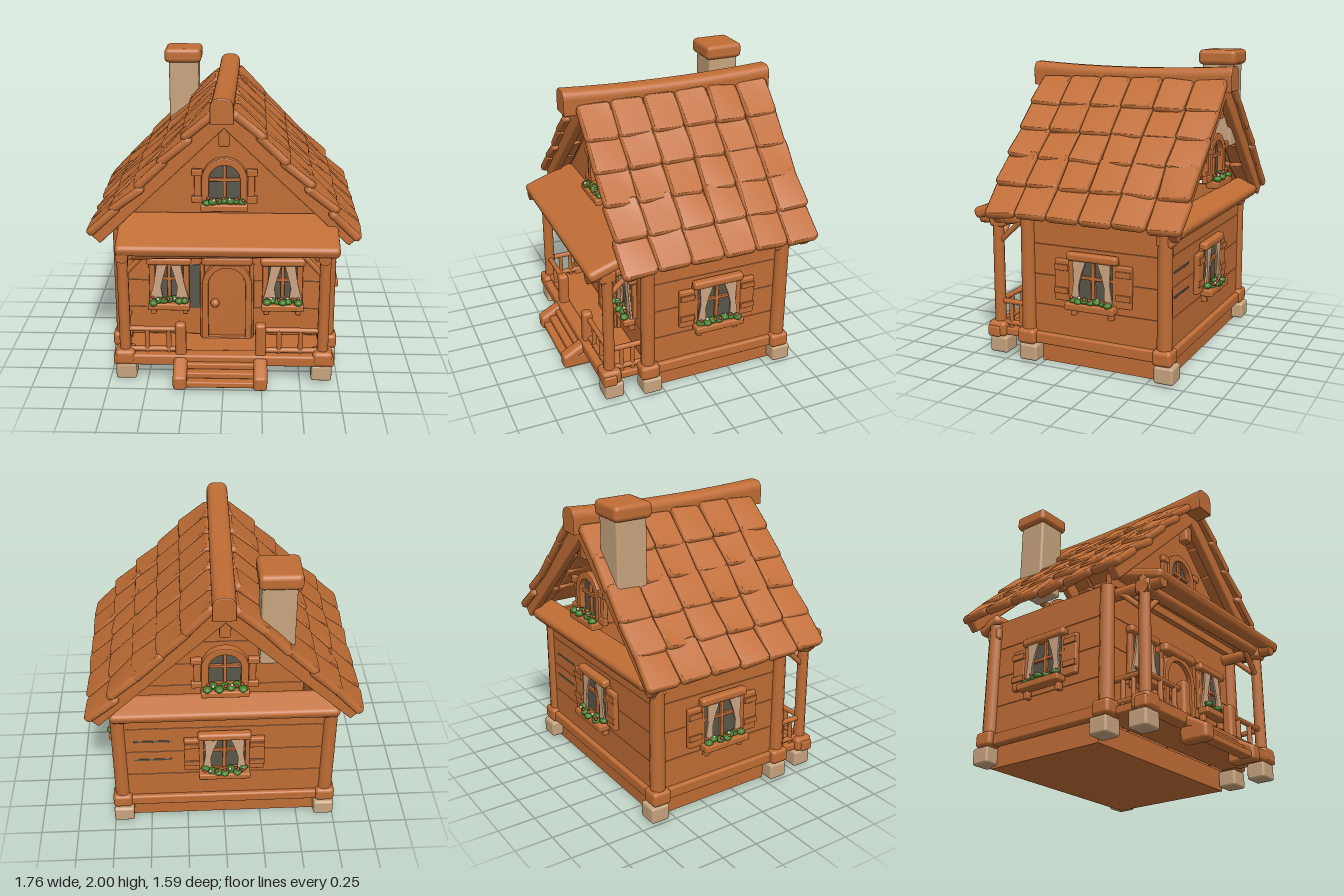
import * as THREE from 'three';
import { RoundedBoxGeometry } from 'three/addons/geometries/RoundedBoxGeometry.js';
import { mergeVertices } from 'three/addons/utils/BufferGeometryUtils.js';

const paint = (name, color, side = THREE.FrontSide) => {
  const m = new THREE.MeshStandardMaterial({ color, side });
  m.name = name;
  return m;
};

export function createModel() {
  const wood = paint('wood', 0xc06d35);
  const wallWood = paint('wall wood', 0xc06d35, THREE.DoubleSide);
  const stone = paint('stone', 0xc8a47e);
  const cloth = paint('curtain cloth', 0xcda583, THREE.DoubleSide);
  const glass = paint('dark glass', 0x59564a, THREE.DoubleSide);
  const leaf = paint('leaf green', 0x447d28);
  const red = paint('flower red', 0xb8432c);
  const white = paint('flower cream', 0xd8c4a8);

  let seed = 7;
  const rnd = () => (seed = (seed * 16807) % 2147483647) / 2147483647 - 0.5;

  const house = new THREE.Group();
  house.name = 'cottage';
  const add = (parent, name, geo, mat, x = 0, y = 0, z = 0) => {
    const m = new THREE.Mesh(geo, mat);
    m.name = name;
    m.position.set(x, y, z);
    parent.add(m);
    return m;
  };
  // Soft-edged block by centre and size
  const block = (parent, name, [x, y, z], [w, h, d], mat = wood, r = 0.2) =>
    add(parent, name, new RoundedBoxGeometry(w, h, d, 2, Math.min(w, h, d) * r), mat, x, y, z);
  // Round timber between two points
  const timber = (parent, name, a, b, r, r2 = r) => {
    const p = new THREE.Vector3(...a), q = new THREE.Vector3(...b), d = q.clone().sub(p);
    const m = add(parent, name, new THREE.CylinderGeometry(r2, r, d.length(), 10), wood);
    m.position.copy(p).add(q).multiplyScalar(0.5);
    m.quaternion.setFromUnitVectors(new THREE.Vector3(0, 1, 0), d.normalize());
    return m;
  };
  const plate = (parent, name, pts, depth, mat, z = 0) =>
    add(parent, name, new THREE.ExtrudeGeometry(new THREE.Shape(pts.map(p => new THREE.Vector2(...p))),
      { depth, bevelEnabled: false }), mat, 0, 0, z);
  const archShape = (w, y0, y1) => {
    const s = new THREE.Shape();
    s.moveTo(-w, y0);
    s.lineTo(w, y0);
    s.lineTo(w, y1);
    s.absarc(0, y1, w, 0, Math.PI, false);
    return s;
  };
  const archFrame = (parent, name, w, t, y0, y1, depth, z) => {
    const s = archShape(w + t, y0, y1);
    s.holes.push(archShape(w, y0 + 0.005, y1));
    return add(parent, name, new THREE.ExtrudeGeometry(s,
      { depth, bevelThickness: 0.008, bevelSize: 0.006, bevelSegments: 2, curveSegments: 10 }), wood, 0, 0, z);
  };
  // Slightly twisted, softly shaded shingle with rounded corners, lying in xz
  const shingleGeometry = (len, wid) => {
    const s = new THREE.Shape(), r = 0.035;
    for (const [i, sx, sy] of [[0, 1, 1], [1, -1, 1], [2, -1, -1], [3, 1, -1]])
      s.absarc(sx * (len / 2 - r), sy * (wid / 2 - r), r, i * Math.PI / 2, (i + 1) * Math.PI / 2, false);
    let g = new THREE.ExtrudeGeometry(s, { depth: 0.026, curveSegments: 3,
      bevelThickness: 0.013, bevelSize: 0.013, bevelOffset: -0.013, bevelSegments: 1 });
    g.rotateX(-Math.PI / 2).translate(0, -0.013, 0);
    g.deleteAttribute('normal');
    g.deleteAttribute('uv');
    g = mergeVertices(g, 1e-4);
    const p = g.attributes.position, k = rnd() * 1.6;
    for (let i = 0; i < p.count; i++) p.setY(i, p.getY(i) + k * p.getX(i) * p.getZ(i));
    g.computeVertexNormals();
    return g;
  };

  // Flower box with leaves and blossoms
  const flowerBox = (parent, w, y, brackets) => {
    block(parent, 'flowerBox', [0, y, 0.055], [w, 0.045, 0.08]);
    if (brackets)
      for (const s of [-1, 1]) block(parent, 'boxBracket', [s * w * 0.38, y - 0.045, 0.03], [0.035, 0.05, 0.04]);
    for (let i = 0; i < 7; i++) {
      const x = (i / 6 - 0.5) * w * 0.74;
      const l = add(parent, 'leaves', new THREE.IcosahedronGeometry(0.029, 1), leaf,
        x, y + 0.034 + rnd() * 0.016, 0.06 + rnd() * 0.05);
      l.scale.y = 0.75;
      add(parent, 'blossom', new THREE.IcosahedronGeometry(0.011, 1), i % 3 === 1 ? white : red,
        x + rnd() * 0.02, y + 0.055, 0.07 + rnd() * 0.05);
    }
  };

  // Square window with swept curtains; the wide kind has shutters
  const windowUnit = (x, y, z, turn, wide) => {
    const g = new THREE.Group();
    g.name = 'window';
    g.position.set(x, y, z);
    g.rotation.y = turn;
    house.add(g);
    const half = wide ? 0.14 : 0.098;
    block(g, 'windowGlass', [0, 0, 0.004], [half * 2, 0.27, 0.008], glass, 0.05);
    block(g, 'lintel', [0, 0.155, 0.03], [wide ? 0.35 : 0.3, 0.055, 0.06], wood, 0.35);
    block(g, 'mullion', [0, 0, 0.015], [0.025, 0.26, 0.02]);
    block(g, 'transom', [0, 0.02, 0.015], [half * 2, 0.022, 0.02]);
    const drape = wide
      ? [[0.13, 0.13], [0.04, 0.13], [0.07, 0.05], [0.09, -0.03], [0.085, -0.14], [0.145, -0.14], [0.125, 0]]
      : [[0.08, 0.13], [0.012, 0.13], [0.035, 0.05], [0.055, -0.03], [0.04, -0.14], [0.135, -0.14], [0.1, 0]];
    for (const s of [-1, 1]) {
      block(g, 'windowJamb', [s * (half + 0.016), 0, 0.015], [0.04, 0.28, 0.03]);
      plate(g, 'curtain', drape.map(p => [p[0] * s, p[1]]), 0.012, cloth, 0.034);
      if (wide) {
        block(g, 'shutter', [s * 0.215, -0.01, 0.018], [0.1, 0.27, 0.036], wood, 0.25);
        for (const h of [-0.075, 0.075]) block(g, 'shutterBatten', [s * 0.215, h, 0.036], [0.1, 0.04, 0.02]);
      }
    }
    flowerBox(g, wide ? 0.34 : 0.28, -0.158, true);
  };

  // Arched gable window
  const gableWindow = (z, turn) => {
    const g = new THREE.Group();
    g.name = 'gableWindow';
    g.position.set(0, 1.3, z);
    g.rotation.y = turn;
    house.add(g);
    add(g, 'archedGlass', new THREE.ShapeGeometry(archShape(0.11, -0.1, 0.03)), glass, 0, 0, 0.004);
    archFrame(g, 'archedFrame', 0.105, 0.035, -0.11, 0.03, 0.035, 0);
    block(g, 'mullion', [0, 0.02, 0.015], [0.022, 0.24, 0.02]);
    block(g, 'transom', [0, 0.03, 0.015], [0.21, 0.022, 0.02]);
    for (const s of [-1, 1]) {
      block(g, 'sidePost', [s * 0.17, -0.01, 0.015], [0.045, 0.2, 0.03]);
      for (const h of [-0.1, 0.08]) block(g, 'sideBlock', [s * 0.175, h, 0.025], [0.07, 0.045, 0.035]);
    }
    flowerBox(g, 0.3, -0.14, false);
  };

  // Foundation, floor and porch deck
  add(house, 'foundation', new THREE.BoxGeometry(1.32, 0.14, 0.87), wood, 0, 0.075, -0.165);
  block(house, 'porchDeck', [0, 0.165, 0.47], [1.36, 0.05, 0.36]);
  block(house, 'deckBeam', [0, 0.165, 0.615], [1.44, 0.075, 0.09]);
  block(house, 'backSill', [0, 0.175, -0.615], [1.36, 0.075, 0.07]);

  // Plank walls
  for (let i = 0; i < 4; i++) {
    const y = 0.3 + i * 0.2;
    for (const s of [-1, 1]) block(house, 'sidePlank', [s * 0.67, y, -0.13], [0.04, 0.2, 0.94], wallWood, 0.1);
    block(house, 'frontPlank', [0, y, 0.33], [1.34, 0.2, 0.04], wallWood, 0.1);
    block(house, 'backPlank', [0, y, -0.6], [1.34, 0.2, 0.04], wallWood, 0.1);
  }
  for (const y of [0.53, 0.69]) block(house, 'plankGap', [0.47, y, -0.62], [0.25, 0.014, 0.006], glass);
  block(house, 'darkPanel', [-0.195, 0.555, 0.352], [0.1, 0.32, 0.008], glass, 0.05);
  plate(house, 'frontGable', [[-0.7, 0.98], [0.7, 0.98], [0.7, 1.06], [0, 1.76], [-0.7, 1.06]], 0.04, wallWood, 0.35);

  // Posts, stone feet and beams, mirrored left and right
  for (const s of [-1, 1]) {
    for (const [x, z, r, capital] of [[0.645, 0.6, 0.038, true], [0.69, 0.35, 0.048, false], [0.69, -0.6, 0.05, true]]) {
      timber(house, 'post', [s * x, 0.18, z], [s * x, 0.98, z], r, r * 0.95);
      block(house, 'postBase', [s * x, 0.18, z], [0.13, 0.1, 0.13], wood, 0.25);
      if (capital) block(house, 'postCapital', [s * (x - 0.02), 0.915, z], [0.11, 0.09, 0.11], wood, 0.25);
      block(house, 'stoneFoot', [s * (x - 0.005), 0.075, z - 0.015], [0.135, 0.11, 0.13], stone, 0.15);
    }
    block(house, 'sideSill', [s * 0.69, 0.175, -0.13], [0.06, 0.075, 0.94]);
    timber(house, 'porchSideBeam', [s * 0.63, 0.94, 0.33], [s * 0.63, 0.92, 0.73], 0.04);
    timber(house, 'porchBrace', [s * 0.62, 0.77, 0.6], [s * 0.47, 0.93, 0.6], 0.018);
    timber(house, 'sideBrace', [s * 0.645, 0.77, 0.59], [s * 0.645, 0.92, 0.43], 0.018);
    // Porch railings
    for (const y of [0.22, 0.365]) {
      timber(house, 'frontRail', [s * 0.25, y, 0.6], [s * 0.64, y, 0.6], 0.018);
      timber(house, 'sideRail', [s * 0.645, y, 0.36], [s * 0.645, y, 0.6], 0.018);
    }
    for (const x of [0.36, 0.5]) timber(house, 'baluster', [s * x, 0.18, 0.6], [s * x, 0.37, 0.6], 0.017);
    for (const z of [0.44, 0.515]) timber(house, 'sideBaluster', [s * 0.645, 0.18, z], [s * 0.645, 0.37, z], 0.015);
    block(house, 'newelPost', [s * 0.26 - 0.02, 0.3, 0.61], [0.07, 0.24, 0.07], wood, 0.3);
    // Step cheeks: a low block with a sloping one on top
    block(house, 'stepCheek', [s * 0.26 - 0.02, 0.07, 0.7], [0.09, 0.1, 0.19], wood, 0.25);
    block(house, 'stepCheekTop', [s * 0.26 - 0.02, 0.125, 0.7], [0.09, 0.07, 0.2], wood, 0.35).rotation.x = 0.5;
  }
  for (let i = 0; i < 3; i++)
    block(house, 'stepTread', [-0.02, 0.055 + i * 0.042, 0.74 - i * 0.045], [0.46, 0.04, 0.08]);

  // Porch roof and matching back board
  timber(house, 'porchBeam', [-0.68, 0.9, 0.61], [0.68, 0.93, 0.61], 0.04);
  block(house, 'porchRoof', [0.025, 1.015, 0.56], [1.4, 0.075, 0.38], wood, 0.4).rotation.x = 0.33;
  block(house, 'backBoard', [0, 1.0, -0.65], [1.46, 0.08, 0.18], wood, 0.4).rotation.x = -0.4;
  timber(house, 'backBeam', [-0.68, 0.92, -0.62], [0.68, 0.92, -0.62], 0.04);

  // Door
  const door = new THREE.Group();
  door.name = 'door';
  door.position.set(0.015, 0, 0.345);
  house.add(door);
  add(door, 'doorLeaf', new THREE.ExtrudeGeometry(archShape(0.135, 0.19, 0.58),
    { depth: 0.02, bevelEnabled: false }), wood);
  archFrame(door, 'doorArch', 0.13, 0.03, 0.19, 0.58, 0.04, 0);
  block(door, 'doorLintel', [0, 0.76, 0.03], [0.34, 0.07, 0.07], wood, 0.35);
  for (const s of [-1, 1]) block(door, 'doorPost', [s * 0.165, 0.46, 0.01], [0.03, 0.54, 0.04]);
  add(door, 'doorKnob', new THREE.SphereGeometry(0.03, 14, 10), wood, -0.08, 0.45, 0.04);

  // Windows
  windowUnit(-0.37, 0.6, 0.352, 0, false);
  windowUnit(0.385, 0.6, 0.352, 0, false);
  windowUnit(0.692, 0.6, -0.125, Math.PI / 2, true);
  windowUnit(-0.692, 0.6, -0.125, -Math.PI / 2, true);
  windowUnit(0, 0.6, -0.622, Math.PI, true);
  gableWindow(0.392, 0);
  gableWindow(-0.64, Math.PI);

  // Roof shingles: five overlapping courses of six on each slope
  const courses = [[0.865, 0.995, 0.27], [0.715, 1.16, 0.27], [0.56, 1.315, 0.27], [0.405, 1.47, 0.27], [0.255, 1.63, 0.27]];
  for (const s of [-1, 1]) {
    for (const [tx, ty, len] of courses) {
      for (let i = 0; i < 6; i++) {
        const a = 0.74 + rnd() * 0.07;
        const t = add(house, 'shingle', shingleGeometry(len, 0.222 + rnd() * 0.012), wood,
          s * (tx - Math.cos(a) * len / 2), ty + Math.sin(a) * len / 2 + rnd() * 0.012, -0.65 + i * 0.222);
        t.rotation.set(rnd() * 0.1, 0, -s * a);
      }
    }
    // Bargeboards tucked under both roof ends
    for (const z of [0.5, -0.7])
      block(house, 'bargeboard', [s * 0.41, 1.375, z], [1.17, 0.11, 0.06]).rotation.z = -s * 0.765;
  }
  for (const z of [0.47, -0.67]) block(house, 'kingPost', [0, 1.63, z], [0.07, 0.12, 0.07]);

  // Sagging ridge beam
  const ridgeSection = new THREE.Shape();
  ridgeSection.moveTo(-0.065, -0.06);
  ridgeSection.lineTo(0.065, -0.06);
  ridgeSection.lineTo(0.065, 0.02);
  ridgeSection.quadraticCurveTo(0.06, 0.06, 0.02, 0.06);
  ridgeSection.lineTo(-0.02, 0.06);
  ridgeSection.quadraticCurveTo(-0.06, 0.06, -0.065, 0.02);
  const ridge = new THREE.ExtrudeGeometry(ridgeSection,
    { depth: 1.42, steps: 10, bevelThickness: 0.01, bevelSize: 0.006, bevelSegments: 2 });
  const p = ridge.attributes.position;
  for (let i = 0; i < p.count; i++) {
    const u = p.getZ(i) / 0.71 - 1;
    p.setX(i, p.getX(i) - u * 0.01);
    p.setY(i, p.getY(i) * (1 + 0.2 * u * u) + 0.01 * u * u);
  }
  ridge.computeVertexNormals();
  add(house, 'ridgeBeam', ridge, wood, 0, 1.82, -0.78);

  // Chimney
  block(house, 'chimneyStack', [-0.315, 1.64, -0.59], [0.21, 0.56, 0.21], stone, 0.08);
  block(house, 'chimneyCap', [-0.32, 1.95, -0.59], [0.26, 0.1, 0.26], wood, 0.3);

  return house;
}
